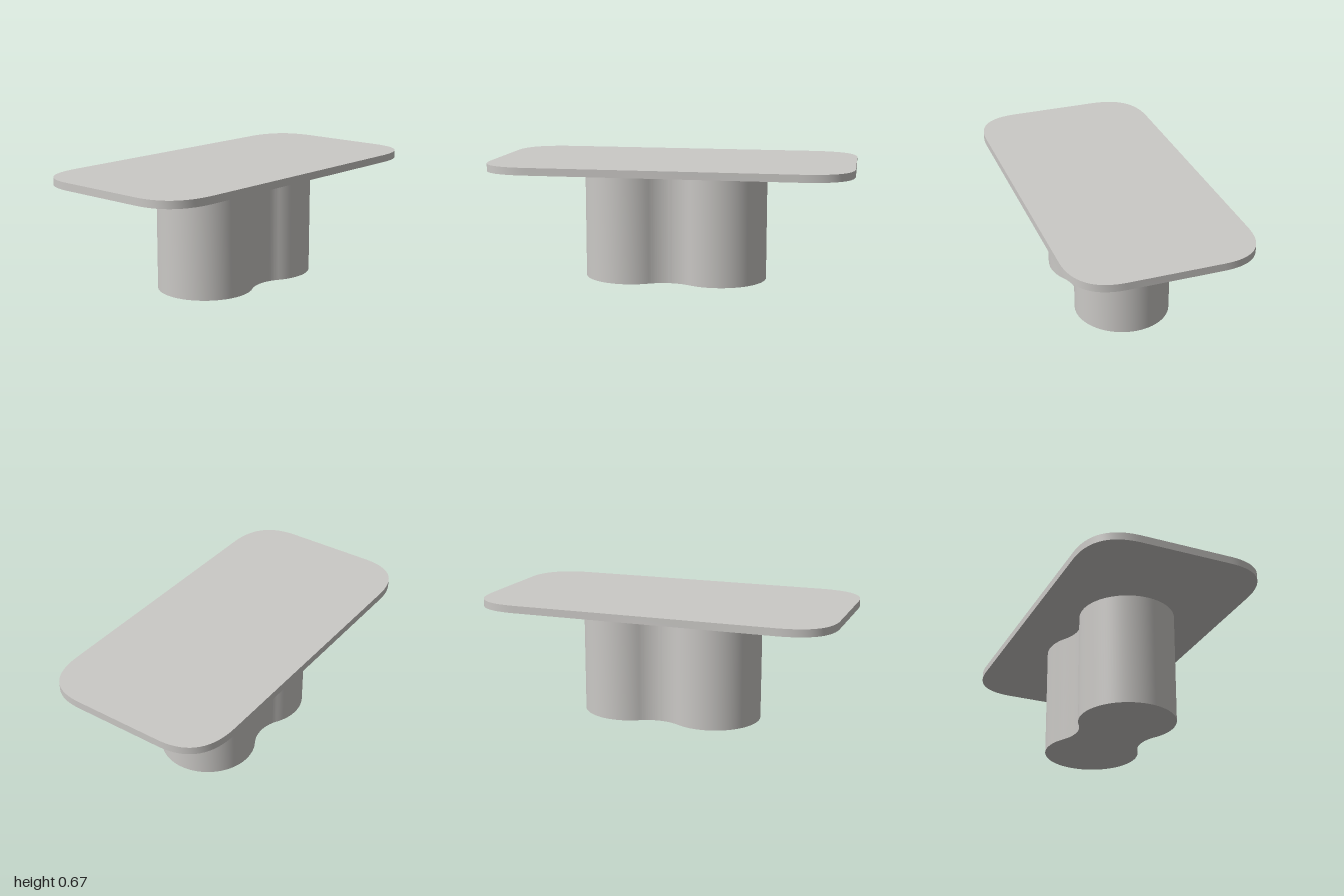
import * as THREE from 'three';
import { toCreasedNormals } from 'three/addons/utils/BufferGeometryUtils.js';

// Extrude a plan outline (x, z) upwards from y0 to y1, with smooth walls
function slab(shape, y0, y1, curveSegments) {
  const geo = new THREE.ExtrudeGeometry(shape, { depth: y1 - y0, bevelEnabled: false, curveSegments });
  geo.rotateX(-Math.PI / 2);
  geo.translate(0, y0, 0);
  return toCreasedNormals(geo, Math.PI / 5);
}

// Rectangle with long, soft corners
function topOutline() {
  const w = 1, d = 0.505, sx = 0.72, sz = 0.25;
  const s = new THREE.Shape();
  s.moveTo(-sx, -d);
  s.lineTo(sx, -d);
  s.quadraticCurveTo(w, -d, w, -sz);
  s.lineTo(w, sz);
  s.quadraticCurveTo(w, d, sx, d);
  s.lineTo(-sx, d);
  s.quadraticCurveTo(-w, d, -w, sz);
  s.lineTo(-w, -sz);
  s.quadraticCurveTo(-w, -d, -sx, -d);
  return s;
}

// Two round lobes joined by hollow fillets at the waist
function baseOutline() {
  const c = 0.25, r = 0.264, R = 0.22;
  const h = Math.sqrt((r + R) ** 2 - c * c);
  const a = Math.atan2(h, c);
  const s = new THREE.Shape();
  s.absarc(c, 0, r, a - Math.PI, Math.PI - a, false);
  s.absarc(0, h, R, -a, a - Math.PI, true);
  s.absarc(-c, 0, r, a, 2 * Math.PI - a, false);
  s.absarc(0, -h, R, Math.PI - a, a, true);
  return s;
}

export function createModel() {
  const group = new THREE.Group();
  group.name = 'table';
  const stone = new THREE.MeshStandardMaterial({ color: 0xcbc9c6 });
  stone.name = 'warm grey';

  const top = new THREE.Mesh(slab(topOutline(), 0.627, 0.668, 24), stone);
  top.name = 'tableTop';

  const base = new THREE.Mesh(slab(baseOutline(), 0, 0.627, 36), stone);
  base.name = 'pedestal';
  base.position.z = 0.005;

  group.add(top, base);
  return group;
}
